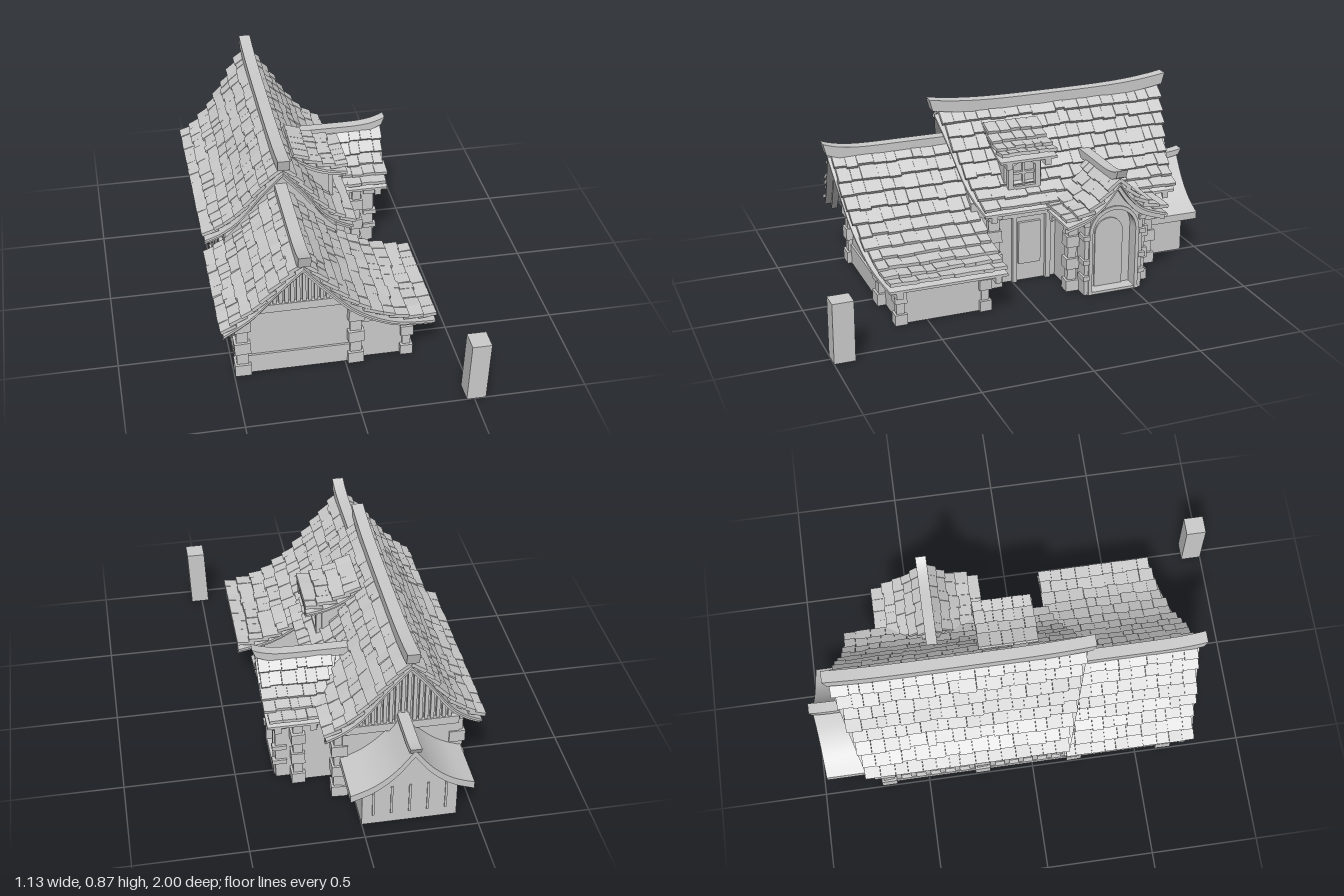
import * as THREE from 'three';
import { mergeGeometries, toCreasedNormals } from 'three/addons/utils/BufferGeometryUtils.js';

const mat = new THREE.MeshStandardMaterial({ color: 0xcccccc, side: THREE.DoubleSide });
const RX = -0.21; // x of the main ridge
let seed = 7;
const rnd = () => (seed = (seed * 16807) % 2147483647) / 2147483647;
const jit = (a) => (rnd() - 0.5) * 2 * a;

const mesh = (name, geo, parent) => {
  const m = new THREE.Mesh(geo, mat);
  m.name = name;
  parent.add(m);
  return m;
};
// box geometry given by its min and max corners
const slab = (x0, x1, y0, y1, z0, z1) =>
  new THREE.BoxGeometry(x1 - x0, y1 - y0, z1 - z0).translate((x0 + x1) / 2, (y0 + y1) / 2, (z0 + z1) / 2);
const shapeOf = (pts) => new THREE.Shape(pts.map((p) => new THREE.Vector2(p[0], p[1])));
const extrude = (shape, z0, z1) =>
  new THREE.ExtrudeGeometry(shape, { depth: z1 - z0, bevelEnabled: false, curveSegments: 12 }).translate(0, 0, z0);
const curveOf = (pts) => new THREE.SplineCurve(pts.map((p) => new THREE.Vector2(p[0], p[1])));

// curved strip following a roof profile, with ends slanting from ridge to eave
function strip(pts, s, back, front, drop, thick) {
  const c = curveOf(pts).getSpacedPoints(14);
  const span = c[14].x;
  const outline = [
    ...c.map((p) => [s * p.x, p.y - drop]),
    ...c.slice().reverse().map((p) => [s * p.x, p.y - drop - thick]),
  ];
  const g = extrude(shapeOf(outline), 0, 1);
  const pos = g.attributes.position;
  for (let i = 0; i < pos.count; i++) {
    const t = Math.abs(pos.getX(i)) / span;
    const a = back[0] + (back[1] - back[0]) * t, b = front[0] + (front[1] - front[0]) * t;
    pos.setZ(i, a + (b - a) * pos.getZ(i));
  }
  g.computeVertexNormals();
  return g;
}

// one roof slope: boarding, bargeboards and overlapping uneven shingles
function slope(name, parent, pts, s, back, front, rows, tileW = 0.062, thick = 0.016) {
  const g = new THREE.Group();
  g.name = name;
  parent.add(g);
  mesh('roofBoarding', strip(pts, s, back, front, 0.012, 0.012), g);
  const inset = (e, d) => e.map((v) => v + d);
  mesh('bargeboards', mergeGeometries([
    strip(pts, s, inset(front, -0.06), inset(front, -0.03), 0.018, 0.035),
    strip(pts, s, inset(back, 0.03), inset(back, 0.06), 0.018, 0.035),
  ]), g);
  const curve = curveOf(pts), tiles = [];
  for (let r = 0; r < rows; r++) {
    const t0 = r / rows, t1 = (r + 1) / rows;
    const z0 = back[0] + (back[1] - back[0]) * t1, z1 = front[0] + (front[1] - front[0]) * t1;
    const n = Math.max(2, Math.round((z1 - z0) / tileW));
    const cuts = [...Array(n + 1)].map((_, i) =>
      z0 + ((z1 - z0) * i) / n + (i && i < n ? jit(tileW * 0.2) : jit(0.008)));
    for (let i = 0; i < n; i++) {
      const a = curve.getPointAt(Math.max(0, t0 - 0.15 / rows));
      const b = curve.getPointAt(Math.min(1, t1 + rnd() * 0.18 / rows));
      const d = b.clone().sub(a), nor = new THREE.Vector2(-d.y, d.x).normalize();
      b.addScaledVector(nor, 0.02 + jit(0.003));
      d.subVectors(b, a);
      const w = cuts[i + 1] - cuts[i];
      tiles.push(new THREE.BoxGeometry(d.length(), thick, w - 0.001)
        .rotateX(jit(0.05)).rotateZ(Math.atan2(d.y, s * d.x))
        .translate((s * (a.x + b.x)) / 2, (a.y + b.y) / 2, (cuts[i] + cuts[i + 1]) / 2));
    }
  }
  mesh('shingles', mergeGeometries(tiles), g);
}

// ridge beam with upswept, flared ends
function ridge(name, parent, y, h, w, z0, z1, lift, liftBack = lift) {
  const g = new THREE.BoxGeometry(w, h, z1 - z0, 1, 1, 20);
  const p = g.attributes.position, half = (z1 - z0) / 2;
  for (let i = 0; i < p.count; i++) {
    const t = p.getZ(i) / half, top = p.getY(i) > 0;
    p.setY(i, p.getY(i) + (t > 0 ? lift : liftBack) * Math.abs(t) ** 3.5);
    if (!top) p.setZ(i, p.getZ(i) * (1 - 0.015 / half));
  }
  mesh(name, toCreasedNormals(g.translate(0, y, (z0 + z1) / 2), 0.5), parent);
}

// stacked rough corner stones
function quoin(parent, x, z, height, w = 0.06) {
  const n = Math.round(height / 0.056), h = height / n, parts = [];
  for (let i = 0; i < n; i++) {
    const k = w + (i % 2 ? -0.008 : 0.012);
    parts.push(new THREE.BoxGeometry(k, h * 0.97, k).rotateZ(i ? jit(0.05) : 0).rotateY(jit(0.06))
      .translate(x, h * (i + 0.5), z));
  }
  mesh('cornerStones', mergeGeometries(parts), parent);
}

// wall block whose gable follows the concave roof profile
function gableBody(pts, half, z0, z1, drop = 0.04) {
  const c = curveOf(pts).getSpacedPoints(24).filter((p) => p.x < half);
  const edge = c[c.length - 1].y - drop;
  return extrude(shapeOf([[-half, 0], [half, 0], [half, edge],
    ...c.slice().reverse().map((p) => [p.x, p.y - drop]),
    ...c.slice(1).map((p) => [-p.x, p.y - drop]), [-half, edge]]), z0, z1);
}

export function createModel() {
  const root = new THREE.Group();
  root.name = 'house';
  const sub = (name, x = 0) => {
    const g = new THREE.Group();
    g.name = name;
    g.position.x = x;
    root.add(g);
    return g;
  };
  const highP = [[0, 0.8], [0.09, 0.68], [0.19, 0.53], [0.27, 0.45], [0.345, 0.4]];
  const lowP = [[0, 0.655], [0.09, 0.555], [0.2, 0.42], [0.27, 0.355], [0.34, 0.3]];
  const lowWideP = [[0, 0.655], [0.1, 0.53], [0.24, 0.375], [0.42, 0.265], [0.605, 0.225]];

  // tall rear hall
  const hall = sub('rearHall', RX);
  mesh('hallWalls', gableBody(highP, 0.26, -0.72, 0.2), hall);
  for (const s of [-1, 1])
    slope(s < 0 ? 'hallRoofRight' : 'hallRoofLeft', hall, highP, s, [-0.87, s < 0 ? -0.77 : -0.8], [0.285, 0.16], 8);
  ridge('hallRidge', hall, 0.808, 0.055, 0.055, -0.89, 0.315, 0.032);

  // lower front hall with wide skirt roof
  const front = sub('frontHall', RX);
  mesh('frontWalls', gableBody(lowP, 0.26, 0.15, 0.64), front);
  slope('frontRoofRight', front, lowP, -1, [0.18, 0.14], [0.8, 0.74], 8);
  slope('frontRoofLeft', front, lowWideP, 1, [0.18, 0.15], [0.8, 0.7], 11);
  ridge('frontRidge', front, 0.655, 0.055, 0.055, 0.2, 0.825, 0.035, 0);
  mesh('sideWing', extrude(shapeOf([[0.2, 0], [0.5, 0], [0.5, 0.215], [0.38, 0.25], [0.2, 0.35]]), 0.22, 0.63), front);
  mesh('wingRails', mergeGeometries([slab(0.26, 0.49, 0.205, 0.225, 0.62, 0.645), slab(0.49, 0.51, 0.19, 0.21, 0.24, 0.62)]), front);

  // slatted gables and wall rails at both ends
  const slats = (name, parent, pts, base, z, n) => {
    const c = curveOf(pts).getSpacedPoints(40), parts = [];
    for (let i = -n; i <= n; i++) {
      const x = i * 0.026, top = c.reduce((a, b) => (Math.abs(b.x - Math.abs(x)) < Math.abs(a.x - Math.abs(x)) ? b : a)).y - 0.045;
      if (top > base + 0.02) parts.push(slab(x - 0.008, x + 0.008, base, top, z - 0.012, z + 0.012));
    }
    parts.push(slab(-0.25, 0.25, base - 0.04, base, z - 0.018, z + 0.018));
    mesh(name, mergeGeometries(parts), parent);
  };
  slats('frontGableSlats', front, lowP, 0.37, 0.645, 7);
  slats('backGableSlats', hall, highP, 0.4, -0.725, 8);
  mesh('frontSkirting', slab(-0.24, 0.24, 0, 0.095, 0.63, 0.65), front);

  // corner stones
  const stones = sub('stonework');
  for (const z of [0.635, 0.2, -0.24, -0.69]) quoin(stones, -0.46, z, 0.36);
  quoin(stones, 0.045, 0.635, 0.35);
  quoin(stones, 0.06, 0.1, 0.4);
  quoin(stones, 0.06, -0.69, 0.4);
  for (const z of [0.625, 0.225]) quoin(stones, 0.28, z, 0.21, 0.045);

  // timber framing of the long right wall
  const frame = [];
  for (const [a, b] of [[-0.66, -0.27], [-0.21, 0.17], [0.23, 0.6]]) {
    for (const y of [0.02, 0.33]) frame.push(slab(-0.488, -0.465, y, y + 0.03, a, b));
    for (let i = 0; i <= 5; i++) {
      const z = a + 0.02 + ((b - a - 0.04) * i) / 5;
      frame.push(slab(-0.484, -0.465, 0.03, 0.35, z - 0.012, z + 0.012));
    }
  }
  mesh('timberFraming', mergeGeometries(frame), root);

  // panelled wall beside the porch
  mesh('wallPanel', mergeGeometries([
    slab(0.045, 0.066, 0.09, 0.3, -0.14, -0.03),
    slab(0.045, 0.07, 0.33, 0.36, -0.2, 0.07),
    slab(0.045, 0.07, 0, 0.4, -0.02, 0),
    slab(0.045, 0.07, 0, 0.4, -0.19, -0.165),
  ]), root);

  // entrance porch, built facing +z and turned to face +x
  const porch = sub('porch');
  porch.position.z = -0.4;
  porch.rotation.y = Math.PI / 2;
  const porchP = [[0, 0.575], [0.06, 0.49], [0.13, 0.43], [0.25, 0.385]];
  mesh('porchWalls', gableBody(porchP, 0.18, 0, 0.24, 0.03), porch);
  for (const s of [-1, 1]) {
    slope('porchRoof', porch, porchP, s, [0.02, 0.12], [0.38, 0.365], 5, 0.055);
    quoin(porch, s * 0.175, 0.225, 0.39, 0.05);
    mesh('jambStones', mergeGeometries([0.09, 0.17, 0.29, 0.36].map((y) =>
      slab(s * 0.14 - 0.016, s * 0.14 + 0.016, y - 0.011, y + 0.011, 0.27, 0.335))), porch);
  }
  ridge('porchRidge', porch, 0.573, 0.04, 0.05, -0.06, 0.395, 0.035, 0);
  const arch = (r, spring) => {
    const p = new THREE.Path();
    p.moveTo(-r, 0).lineTo(r, 0).lineTo(r, spring).absarc(0, spring, r, 0, Math.PI, false).lineTo(-r, 0);
    return p;
  };
  const surround = shapeOf([[-0.145, 0], [0.145, 0], [0.145, 0.39], [0.06, 0.455], [0, 0.53], [-0.06, 0.455], [-0.145, 0.39]]);
  surround.holes.push(arch(0.11, 0.305));
  mesh('archSurround', extrude(surround, 0.23, 0.32), porch);
  const trim = new THREE.Shape(arch(0.125, 0.305).getPoints(16));
  trim.holes.push(arch(0.108, 0.305));
  mesh('archTrim', extrude(trim, 0.3, 0.328), porch);
  mesh('door', extrude(new THREE.Shape(arch(0.112, 0.305).getPoints(16)), 0.22, 0.26), porch);
  mesh('doorPanel', extrude(new THREE.Shape(arch(0.07, 0.28).getPoints(16)), 0.26, 0.268), porch);
  mesh('doorStep', slab(-0.13, 0.13, 0, 0.012, 0.22, 0.325), porch);

  // dormer window with a shed roof
  const dormer = sub('dormer');
  mesh('dormerWalls', extrude(shapeOf([[-0.14, 0.42], [0.04, 0.42], [0.04, 0.645], [-0.14, 0.7]]), -0.15, 0.035), dormer);
  const roof = sub('dormerRoof', -0.13);
  slope('dormerSlope', roof, [[0, 0.74], [0.08, 0.69], [0.16, 0.66], [0.25, 0.645]], 1, [-0.19, -0.2], [0.07, 0.08], 4, 0.05);
  const surroundW = shapeOf([[-0.08, 0.46], [0.08, 0.46], [0.08, 0.6], [0, 0.645], [-0.08, 0.6]]);
  surroundW.holes.push(shapeOf([[-0.055, 0.485], [0.055, 0.485], [0.055, 0.585], [0, 0.615], [-0.055, 0.585]]));
  const win = mesh('windowFrame', extrude(surroundW, 0.035, 0.065), dormer);
  const bars = mesh('windowBars', mergeGeometries([slab(-0.006, 0.006, 0.48, 0.61, 0.035, 0.055), slab(-0.055, 0.055, 0.54, 0.552, 0.035, 0.055)]), dormer);
  for (const m of [win, bars]) { m.rotation.y = Math.PI / 2; m.position.z = -0.058; }

  // small rear annex with a smooth sweeping roof
  const annex = sub('rearAnnex', RX);
  const annexP = [[0, 0.44], [0.08, 0.335], [0.17, 0.26], [0.27, 0.215]];
  mesh('annexWalls', gableBody(annexP, 0.21, -0.92, -0.7, 0.03), annex);
  for (const s of [-1, 1])
    mesh('annexRoof', toCreasedNormals(strip(annexP, s, [-0.985, -0.97], [-0.7, -0.7], 0, 0.035), 0.5), annex);
  ridge('annexRidge', annex, 0.433, 0.03, 0.05, -1, -0.7, 0, 0.012);
  mesh('annexBattens', mergeGeometries([-0.16, -0.08, 0, 0.08, 0.16].map((x) =>
    slab(x - 0.005, x + 0.005, 0.05, 0.2, -0.925, -0.9))), annex);

  // free-standing post, leaning slightly
  const post = slab(0.466, 0.552, 0, 0.285, 0.905, 1);
  const pp = post.attributes.position;
  for (let i = 0; i < pp.count; i++) if (pp.getY(i) > 0.1) pp.setX(i, pp.getX(i) + 0.01);
  mesh('post', post, root);
  return root;
}
